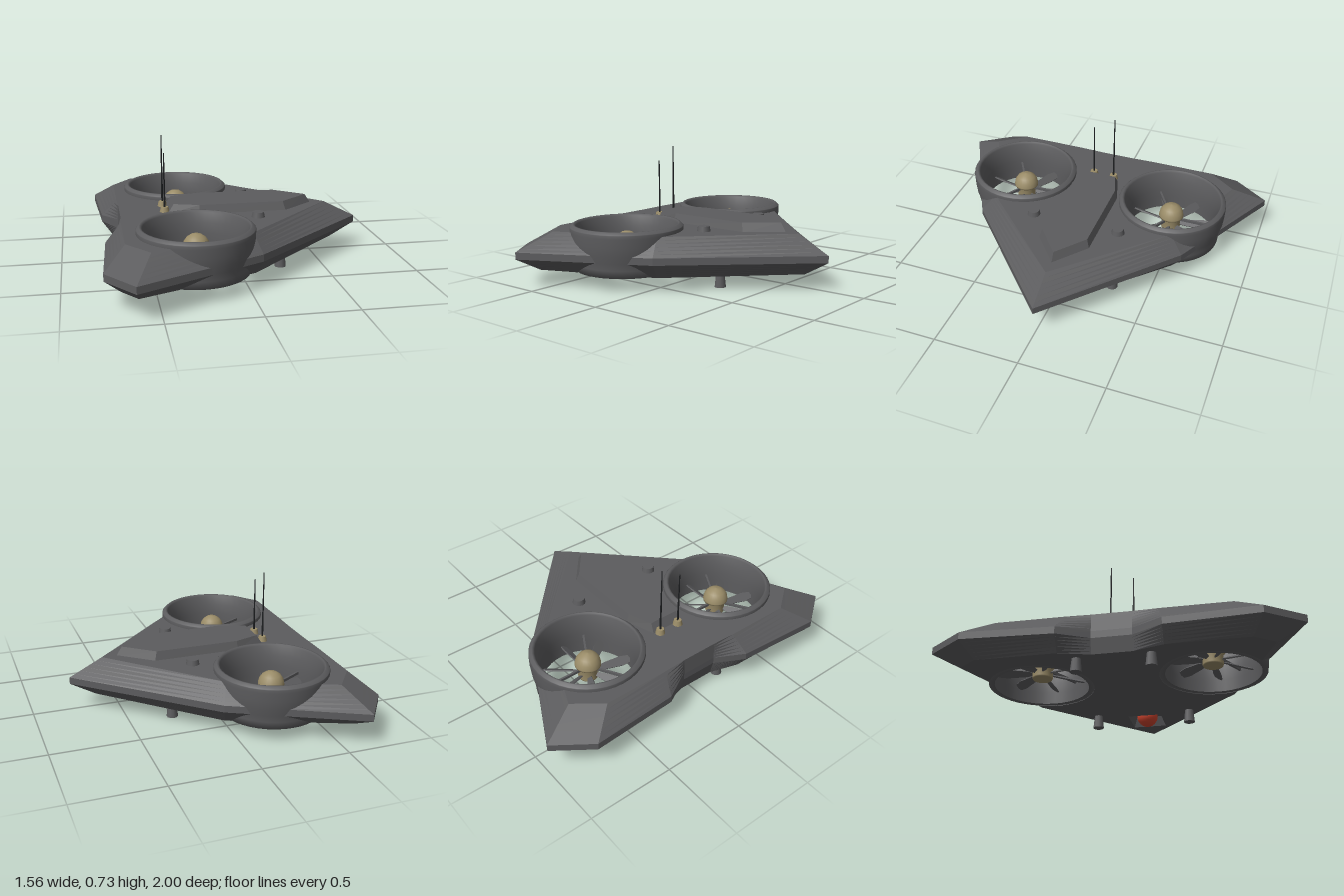
import * as THREE from 'three';

const mat = (name, color, side = THREE.FrontSide) => {
  const m = new THREE.MeshStandardMaterial({ color, side });
  m.name = name;
  return m;
};

const FAN = { x: -0.27, z: 0.485, cut: 0.296 };
const ARC = 28;

// Closed outline from one half: points run from the nose round the +z side to the back
function mirrorOutline(half) {
  const back = half.filter(([, z]) => z > 1e-6).reverse().map(([x, z]) => [x, -z]);
  return [...half, ...back];
}

// Replace the stretch of the wing edge (point 1 to point 2) by the duct's circular cut
function notch(half) {
  const [a, b] = [half[1], half[2]];
  const len = Math.hypot(b[0] - a[0], b[1] - a[1]);
  const n = [(b[1] - a[1]) / len, -(b[0] - a[0]) / len];
  const d = (a[0] - FAN.x) * n[0] + (a[1] - FAN.z) * n[1];
  const phi = Math.atan2(n[1], n[0]);
  const h = Math.acos(Math.min(0.995, d / FAN.cut));
  const arc = [];
  for (let i = 0; i <= ARC; i++) {
    const t = phi - h - (i / ARC) * (2 * Math.PI - 2 * h);
    arc.push([FAN.x + FAN.cut * Math.cos(t), FAN.z + FAN.cut * Math.sin(t)]);
  }
  return [half[0], a, ...arc, ...half.slice(2)];
}

// Flat-faced solid through outlines at rising heights; optional hole in the underside
function loft(levels, bottomHole = []) {
  const pos = [];
  const tri = (...ps) => ps.forEach((p) => pos.push(...p));
  const at = (l, i) => {
    const p = l.pts[i % l.pts.length];
    return [p[0], l.y, p[1]];
  };
  for (let k = 0; k < levels.length - 1; k++) {
    const [lo, hi] = [levels[k], levels[k + 1]];
    for (let i = 0; i < lo.pts.length; i++) {
      tri(at(lo, i), at(hi, i), at(lo, i + 1));
      tri(at(lo, i + 1), at(hi, i), at(hi, i + 1));
    }
  }
  const cap = (l, up, hole) => {
    const v = (p) => new THREE.Vector2(p[0], p[1]);
    const contour = l.pts.map(v);
    const holes = hole.length ? [hole.map(v)] : [];
    const all = [...l.pts, ...hole];
    for (const f of THREE.ShapeUtils.triangulateShape(contour, holes)) {
      const [p, q, r] = f.map((i) => all[i]);
      const ny = (q[1] - p[1]) * (r[0] - p[0]) - (q[0] - p[0]) * (r[1] - p[1]);
      const order = (ny > 0) === up ? [p, q, r] : [p, r, q];
      tri(...order.map((c) => [c[0], l.y, c[1]]));
    }
  };
  cap(levels[0], false, bottomHole);
  cap(levels[levels.length - 1], true, []);
  const g = new THREE.BufferGeometry();
  g.setAttribute('position', new THREE.Float32BufferAttribute(pos, 3));
  g.computeVertexNormals();
  return g;
}

export function createModel() {
  const model = new THREE.Group();
  const grey = mat('hullGrey', 0x5c5c5e);
  const greyOpen = mat('recessGrey', 0x5c5c5e, THREE.DoubleSide);
  const tan = mat('hubTan', 0x9a8c68);
  const black = mat('antennaBlack', 0x1e2022);
  const red = mat('sensorRed', 0xd2452f);

  const add = (parent, name, geo, m, x = 0, y = 0, z = 0) => {
    const mesh = new THREE.Mesh(geo, m);
    mesh.name = name;
    mesh.position.set(x, y, z);
    parent.add(mesh);
    return mesh;
  };

  // Arrowhead hull: belt outline with bevels to a smaller deck and belly
  const belt = [[0.78, 0], [0.07, 0.64], [-0.63, 1], [-0.78, 0.79], [-0.75, 0.28], [-0.66, 0.11]];
  const deck = [[0.585, 0], [0.03, 0.56], [-0.54, 0.8], [-0.66, 0.64], [-0.66, 0.25], [-0.655, 0.11]];
  const belly = [[0.63, 0], [0.04, 0.575], [-0.61, 0.84], [-0.69, 0.73], [-0.69, 0.28], [-0.64, 0.11]];
  const mix = (a, b, t) => a.map((p, i) => [p[0] + (b[i][0] - p[0]) * t, p[1] + (b[i][1] - p[1]) * t]);
  const level = (y, half) => ({ y, pts: mirrorOutline(notch(half)) });
  const levels = [];
  for (let i = 0; i <= 6; i++) levels.push(level(0.075 + 0.085 * (i / 6), mix(belly, belt, i / 6)));
  for (let i = 0; i <= 6; i++) levels.push(level(0.2 + 0.1 * (i / 6), mix(belt, deck, i / 6)));
  const s = 0.1, sx = 0.385;
  const hatch = [[sx - s, -s], [sx + s, -s], [sx + s, s], [sx - s, s]];
  add(model, 'hull', loft(levels, hatch), grey);

  // Raised spine on the deck
  const spineLow = [[0.5, 0], [0.31, 0.155], [-0.2, 0.155], [-0.38, 0.1]];
  const spineTop = [[0.465, 0], [0.295, 0.138], [-0.2, 0.138], [-0.345, 0.09]];
  add(model, 'spine', loft([
    { y: 0.295, pts: mirrorOutline(spineLow) },
    { y: 0.35, pts: mirrorOutline(spineTop) },
  ]), grey);

  // Belly recess with a ball sensor
  const well = new THREE.CylinderGeometry(s * 0.8 * Math.SQRT2, s * Math.SQRT2, 0.06, 4, 1, true);
  well.rotateY(Math.PI / 4);
  add(model, 'sensorRecess', well.toNonIndexed(), greyOpen, sx, 0.105, 0).geometry.computeVertexNormals();
  add(model, 'recessRoof', new THREE.BoxGeometry(0.17, 0.008, 0.17), grey, sx, 0.137, 0);
  add(model, 'ballSensor', new THREE.SphereGeometry(0.063, 24, 16), red, sx, 0.103, 0);

  // Shared fan geometry
  const ductProfile = [
    [0.265, 0.078], [0.297, 0.078], [0.3, 0.12], [0.307, 0.16], [0.317, 0.2], [0.323, 0.25],
    [0.325, 0.3], [0.325, 0.319], [0.322, 0.322], [0.307, 0.336], [0.298, 0.336], [0.29, 0.325],
    [0.274, 0.27], [0.266, 0.21], [0.265, 0.15], [0.265, 0.078],
  ].map((p) => new THREE.Vector2(...p));
  const ductGeo = new THREE.LatheGeometry(ductProfile, 40);
  const hubGeo = new THREE.LatheGeometry([
    [0, 0.115], [0.025, 0.115], [0.026, 0.122], [0.055, 0.122], [0.058, 0.13], [0.058, 0.2], [0.074, 0.205],
    [0.075, 0.215], [0.069, 0.244], [0.053, 0.268], [0.029, 0.284], [0, 0.29],
  ].map((p) => new THREE.Vector2(...p)), 24);
  const leaf = new THREE.Shape([
    [0.05, -0.011], [0.1, -0.02], [0.2, -0.028], [0.25, -0.022], [0.258, 0],
    [0.25, 0.022], [0.2, 0.028], [0.1, 0.02], [0.05, 0.011],
  ].map((p) => new THREE.Vector2(...p)));
  const bladeGeo = new THREE.ExtrudeGeometry(leaf, { depth: 0.008, bevelEnabled: false });
  bladeGeo.translate(0, 0, -0.004).rotateX(-Math.PI / 2 + 0.6);
  const strutGeo = new THREE.BoxGeometry(0.23, 0.016, 0.012).translate(0.16, 0, 0);

  for (const side of [1, -1]) {
    // Ducted lift fan: seven blades, three struts
    const fan = new THREE.Group();
    fan.name = side > 0 ? 'leftFan' : 'rightFan';
    fan.position.set(FAN.x, 0, side * FAN.z);
    model.add(fan);
    add(fan, 'duct', ductGeo, grey);
    add(fan, 'hub', hubGeo, tan);
    for (let i = 0; i < 7; i++) {
      add(fan, 'blade', bladeGeo, grey, 0, 0.155, 0).rotation.y = -(i * 2 * Math.PI) / 7 - 0.02;
    }
    for (let i = 0; i < 3; i++) {
      add(fan, 'strut', strutGeo, grey, 0, 0.19, 0).rotation.y = Math.PI / 2 + (i * 2 * Math.PI) / 3;
    }

    // Deck cap
    add(model, 'deckCap', new THREE.CylinderGeometry(0.033, 0.04, 0.035, 12), grey, 0.12, 0.3125, side * 0.265);

    // Antenna on a collar, the right one taller
    const top = side > 0 ? 0.65 : 0.73;
    add(model, 'antennaCollar', new THREE.CylinderGeometry(0.022, 0.03, 0.035, 12), tan, -0.395, 0.3125, side * 0.065);
    add(model, 'antenna', new THREE.CylinderGeometry(0.003, 0.006, top - 0.3, 8), black, -0.395, (top + 0.3) / 2, side * 0.065);

    // Landing feet
    for (const [x, z] of [[0.25, 0.28], [-0.6, 0.2]]) {
      add(model, 'foot', new THREE.CylinderGeometry(0.024, 0.033, 0.085, 10), grey, x, 0.0425, side * z);
    }
  }
  return model;
}
